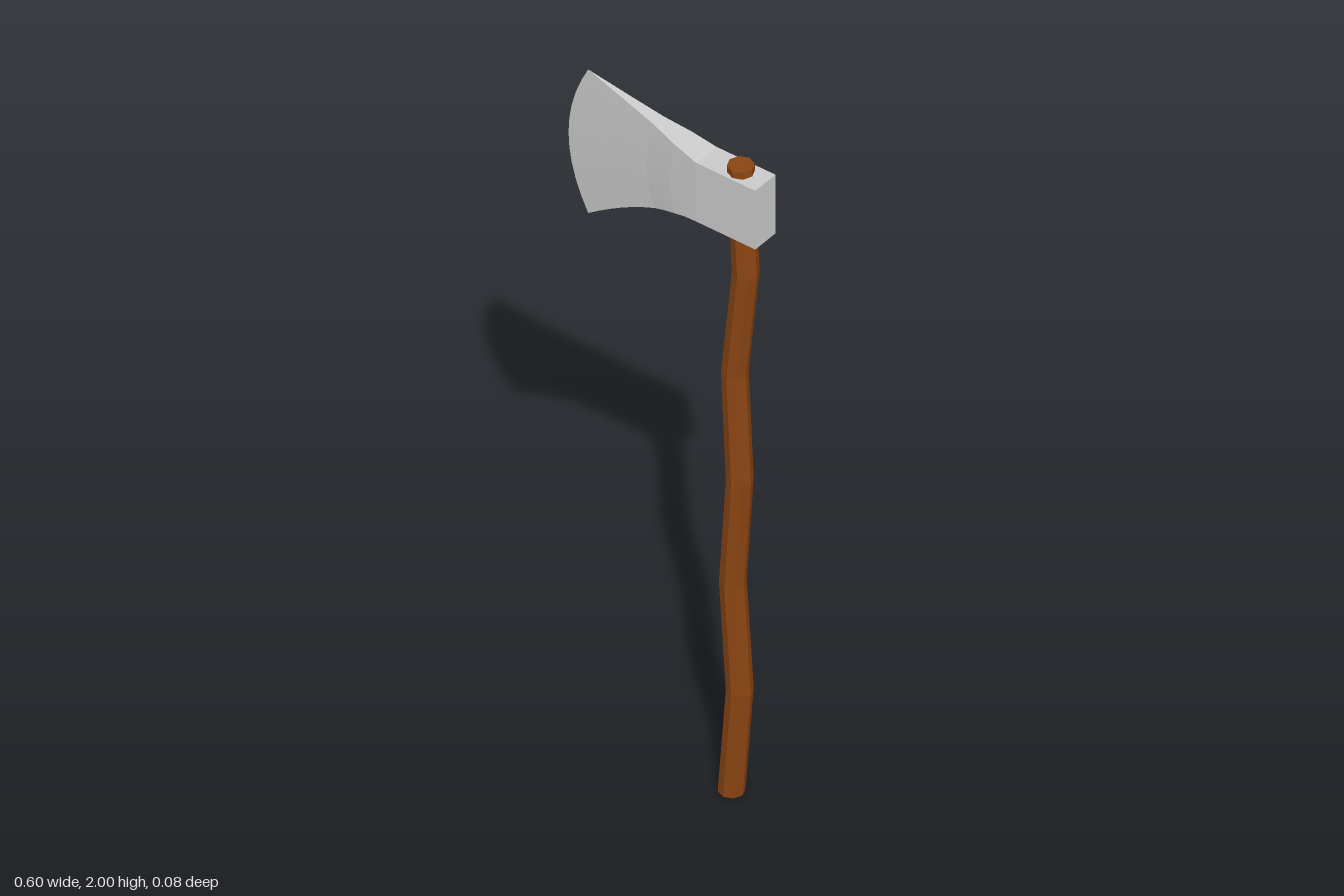
import * as THREE from 'three';

// Linear lookup in a table of [t, value] pairs
function lookup(table, t) {
  for (let i = 1; i < table.length; i++) {
    const [t0, v0] = table[i - 1], [t1, v1] = table[i];
    if (t <= t1) return v0 + ((v1 - v0) * (t - t0)) / (t1 - t0);
  }
  return table[table.length - 1][1];
}

// Octagonal shaft whose rings are shifted sideways to make it crooked
function createHandle() {
  const height = 1.93;
  const centres = [0.197, 0.222, 0.201, 0.222, 0.207, 0.24, 0.225];
  const bends = centres.length - 1;
  const geometry = new THREE.CylinderGeometry(0.034, 0.034, height, 8, bends);
  geometry.translate(0, height / 2, 0);
  const pos = geometry.attributes.position;
  for (let i = 0; i < pos.count; i++) {
    const ring = Math.round((pos.getY(i) / height) * bends);
    pos.setX(i, pos.getX(i) + centres[ring]);
  }
  geometry.computeVertexNormals();
  const handle = new THREE.Mesh(geometry, new THREE.MeshStandardMaterial({ color: 0x8b4513, flatShading: true }));
  handle.name = 'handle';
  return handle;
}

// Square poll that flares and thins into a curved cutting edge
function createHead() {
  const rows = 10, steps = 10, ringSize = 2 * (rows + 1);
  const thickness = [[0, 0.04], [0.2, 0.033], [0.4, 0.02], [0.7, 0.0095], [1, 0]];
  const positions = [], indices = [];

  // One closed section: up the front side, down the back side
  const addRing = (t, pollX) => {
    const bottom = 1.73 - 0.17 * Math.pow(t, 1.6);
    const top = 1.91 + 0.09 * t;
    const z = lookup(thickness, t);
    for (let k = 0; k < ringSize; k++) {
      const front = k <= rows;
      const v = (front ? k : ringSize - 1 - k) / rows;
      const bulge = 0.06 * (1 - (2 * v - 1) ** 2);
      const x = pollX ?? 0.12 - (0.36 + bulge) * t;
      positions.push(x, bottom + (top - bottom) * v, front ? z : -z);
    }
  };
  addRing(0, 0.3);
  for (let s = 0; s <= steps; s++) addRing(s / steps);

  // Skin between neighbouring sections
  for (let s = 0; s <= steps; s++) {
    for (let k = 0; k < ringSize; k++) {
      const a = s * ringSize + k, b = s * ringSize + ((k + 1) % ringSize);
      const c = a + ringSize, d = b + ringSize;
      indices.push(a, b, c, b, d, c);
    }
  }
  // Flat end of the poll
  indices.push(0, rows + 1, rows, 0, ringSize - 1, rows + 1);

  const geometry = new THREE.BufferGeometry();
  geometry.setAttribute('position', new THREE.Float32BufferAttribute(positions, 3));
  geometry.setIndex(indices);
  geometry.computeVertexNormals();
  const head = new THREE.Mesh(geometry, new THREE.MeshStandardMaterial({ color: 0xcccccc, flatShading: true }));
  head.name = 'axeHead';
  return head;
}

export function createModel() {
  const axe = new THREE.Group();
  axe.name = 'axe';
  axe.add(createHandle(), createHead());
  return axe;
}
